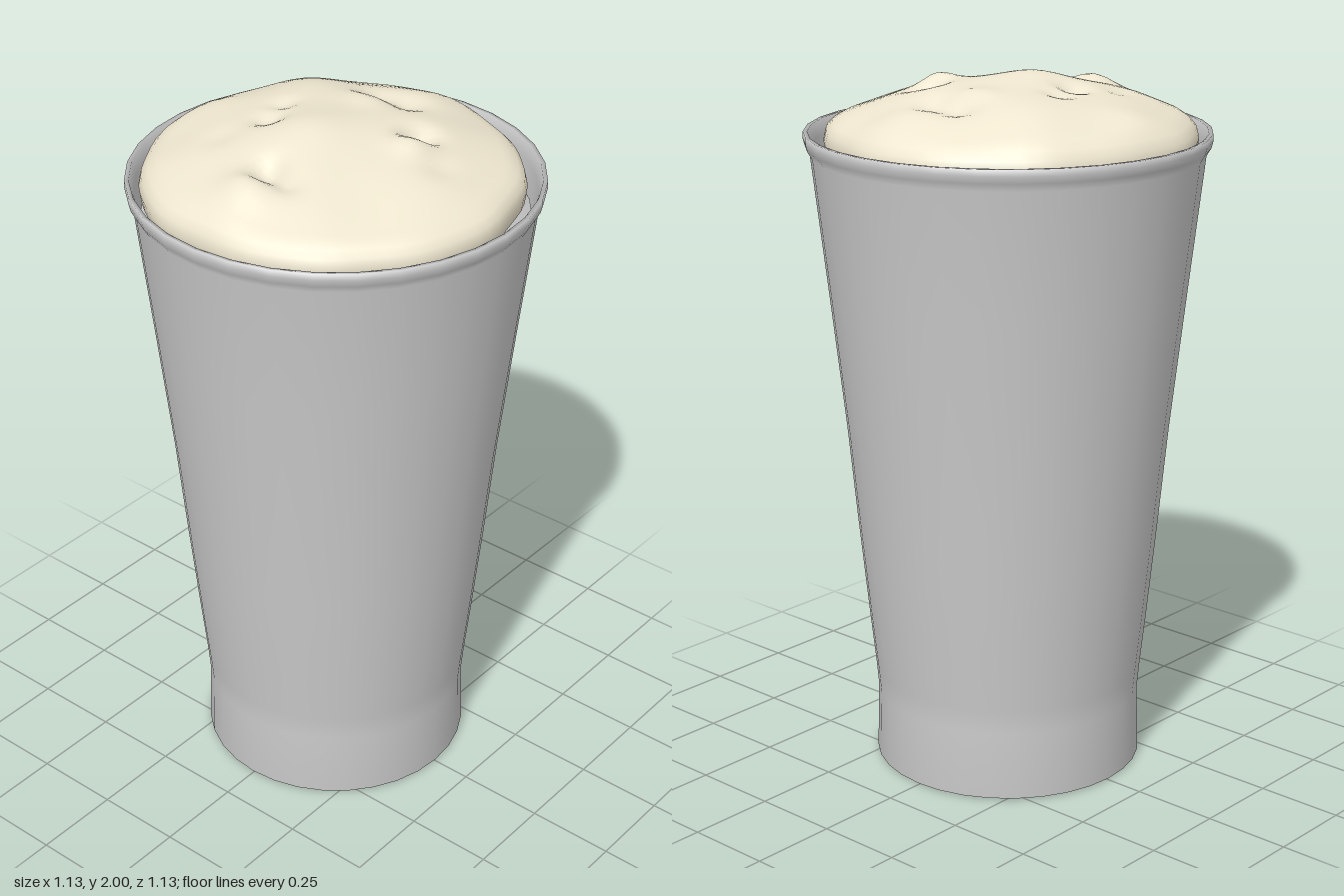
import * as THREE from 'three';
import { mergeVertices } from 'three/addons/utils/BufferGeometryUtils.js';

const SIDES = 32;
const toPoints = (pairs) => pairs.map(([r, y]) => new THREE.Vector2(r, y));

function addMesh(group, name, geometry, color) {
  const mesh = new THREE.Mesh(geometry, new THREE.MeshStandardMaterial({ color }));
  mesh.name = name;
  group.add(mesh);
  return mesh;
}

// Bumps (positive) and dents (negative): x, z, width, height
const LUMPS = [
  [0.0, 0.265, 0.05, -0.042], [0.0, 0.36, 0.07, 0.028], [0.08, 0.28, 0.04, -0.02],
  [0.19, -0.125, 0.045, -0.042], [0.22, -0.06, 0.055, 0.026], [0.31, -0.05, 0.05, -0.012],
  [-0.06, -0.27, 0.055, -0.03], [0.03, -0.275, 0.05, -0.025], [-0.05, -0.205, 0.065, 0.018],
  [-0.17, 0.065, 0.04, -0.025], [-0.2, -0.03, 0.035, -0.015], [-0.22, 0.2, 0.05, -0.01],
  [-0.3, -0.22, 0.13, 0.014], [0.22, 0.2, 0.12, -0.012], [-0.42, 0.02, 0.07, 0.01],
  [0.05, -0.4, 0.1, 0.012], [-0.03, 0.08, 0.1, 0.012],
];

function foamGeometry() {
  // Tucked underside, rounded edge and shallow dome
  const profile = [[0, 1.72], [0.44, 1.72], [0.485, 1.745], [0.51, 1.785], [0.515, 1.82],
    [0.508, 1.848], [0.49, 1.868], [0.465, 1.884]];
  for (let i = 1; i <= 26; i++) {
    const r = 0.465 * (1 - i / 26);
    profile.push([r, 1.884 + 0.1 * (1 - (r / 0.465) ** 2)]);
  }
  const lathe = new THREE.LatheGeometry(toPoints(profile), 72);
  lathe.deleteAttribute('uv');
  lathe.deleteAttribute('normal');
  const geometry = mergeVertices(lathe, 1e-5);

  const pos = geometry.attributes.position;
  for (let i = 0; i < pos.count; i++) {
    const x = pos.getX(i), y = pos.getY(i), z = pos.getZ(i);
    const r = Math.hypot(x, z), a = Math.atan2(z, x);
    // Uneven outline
    const wobble = 1 + (r / 0.515) ** 2 *
      (0.008 * Math.sin(3 * a + 0.6) + 0.007 * Math.sin(7 * a) + 0.005 * Math.sin(13 * a + 2));
    // Lumpy top
    let lift = 0;
    if (y > 1.84) {
      const fade = Math.min(1, (y - 1.84) / 0.05);
      for (const [lx, lz, w, h] of LUMPS) {
        lift += h * Math.exp(-((x - lx) ** 2 + (z - lz) ** 2) / (w * w));
      }
      lift += 0.004 * Math.sin(17 * x + 2) * Math.sin(15 * z + 1) - 0.012 * x;
      lift *= fade;
    }
    pos.setXYZ(i, x * wobble - 0.008, Math.min(2, y + lift), z * wobble);
  }
  geometry.computeVertexNormals();
  return geometry;
}

export function createModel() {
  const model = new THREE.Group();
  model.name = 'pintOfDrink';

  // Tapered glass: base, outer wall, lipped rim, inner wall and thick floor
  addMesh(model, 'glass', new THREE.LatheGeometry(toPoints([
    [0, 0], [0.37, 0], [0.385, 0.004], [0.38, 0.2], [0.386, 0.27], [0.402, 0.42], [0.43, 0.7],
    [0.458, 1.0], [0.502, 1.4], [0.545, 1.78], [0.558, 1.802], [0.563, 1.822], [0.562, 1.84],
    [0.55, 1.84], [0.54, 1.8], [0.488, 1.4], [0.444, 1.0], [0.388, 0.42], [0.365, 0.22], [0, 0.2],
  ]), SIDES), 0xcccccc);

  // Drink filling the inside
  addMesh(model, 'drink', new THREE.LatheGeometry(toPoints([
    [0, 0.21], [0.36, 0.23], [0.384, 0.42], [0.44, 1.0], [0.484, 1.4], [0.525, 1.73], [0, 1.73],
  ]), SIDES), 0xcccccc);

  // Foam head
  addMesh(model, 'foam', foamGeometry(), 0xeee6cf);

  return model;
}
